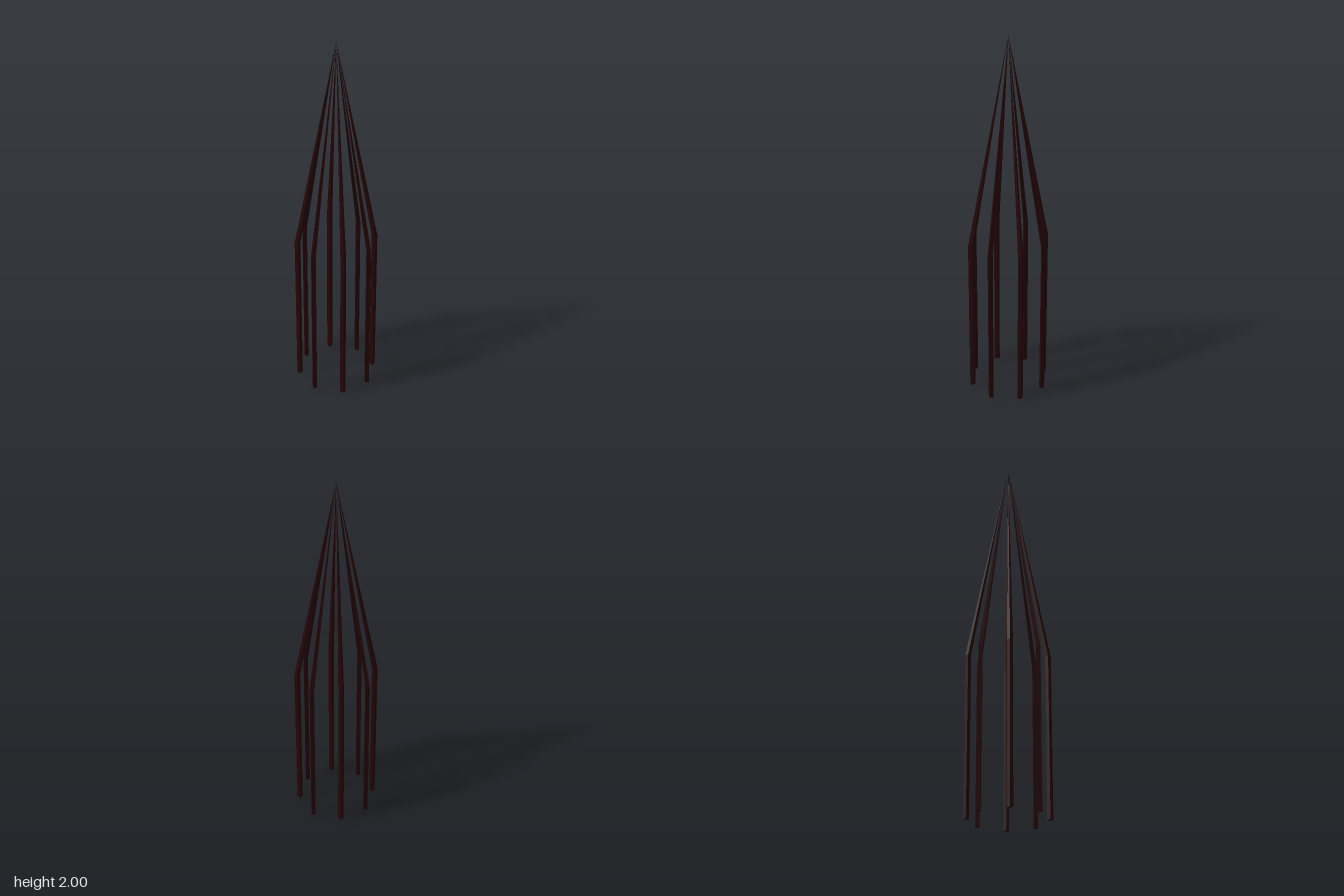
import * as THREE from 'three';

const COUNT = 8;          // bars around the ring
const RING = 0.206;       // distance of each bar from the axis
const HALF = 0.0152;      // half diagonal of the square section
const BEND = 0.87;        // height where the bars lean inward
const TOP = 2;            // height of the shared apex

// Square bar: upright shaft, then a spike leaning to the central axis
function barGeometry() {
  const profile = [[0, 0], [HALF, 0], [HALF, BEND], [0, TOP]].map(([r, y]) => new THREE.Vector2(r, y));
  const geometry = new THREE.LatheGeometry(profile, 4).toNonIndexed();
  geometry.rotateY(Math.PI / 2);
  const p = geometry.attributes.position;
  for (let i = 0; i < p.count; i++) {
    const lean = Math.max(0, (p.getY(i) - BEND) / (TOP - BEND));
    p.setX(i, p.getX(i) + RING * (1 - lean));
  }
  geometry.computeVertexNormals();
  return geometry;
}

export function createModel() {
  const group = new THREE.Group();
  group.name = 'spireFrame';
  const material = new THREE.MeshStandardMaterial({ color: 0x240507, flatShading: true });
  const geometry = barGeometry();

  // Ring of bars, offset half a step so none lies on an axis
  for (let i = 0; i < COUNT; i++) {
    const bar = new THREE.Mesh(geometry, material);
    bar.name = `spireBar${i + 1}`;
    bar.rotation.y = ((i + 0.5) / COUNT) * Math.PI * 2;
    group.add(bar);
  }
  return group;
}
